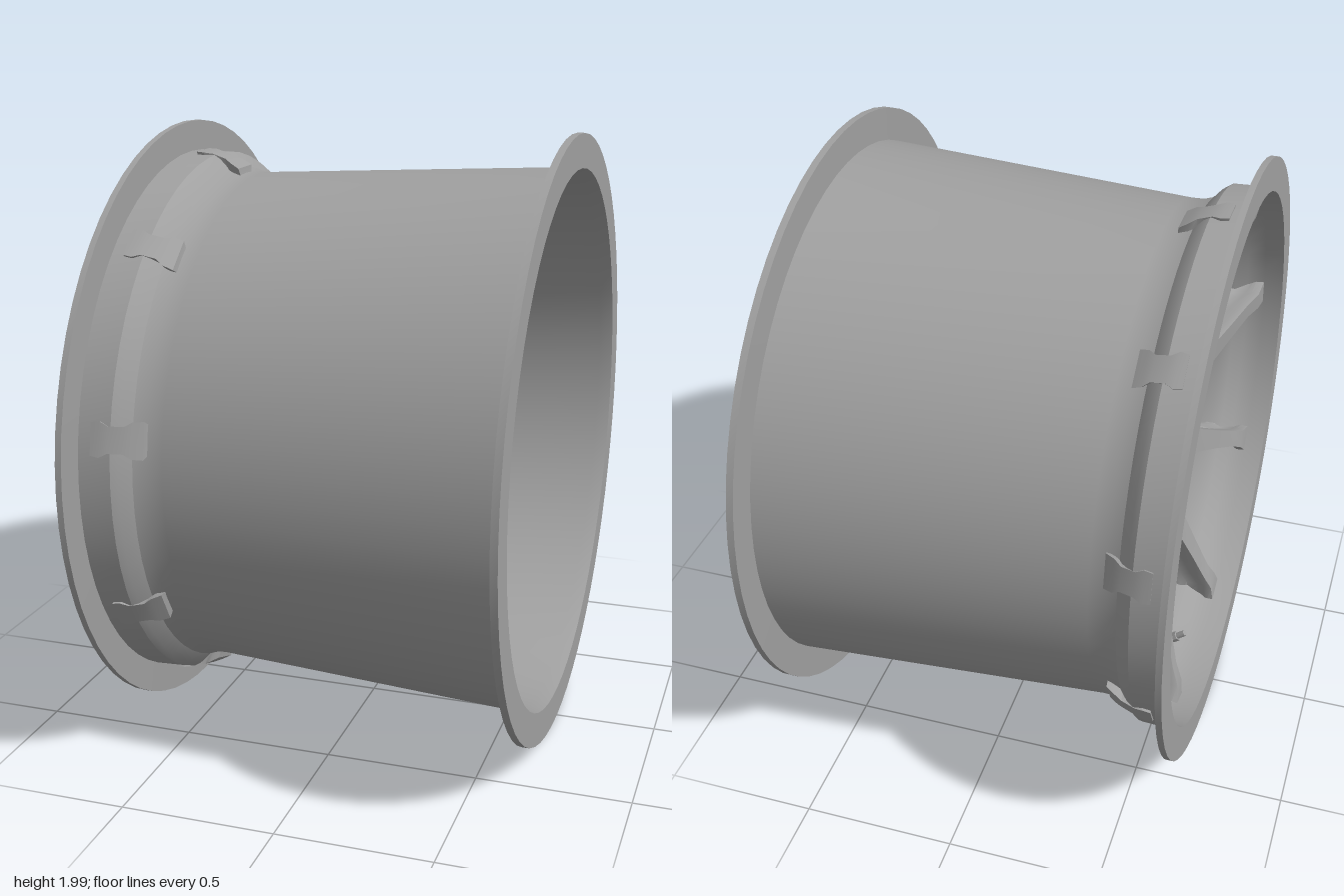
import * as THREE from 'three';
import { toCreasedNormals } from 'three/addons/utils/BufferGeometryUtils.js';

const material = new THREE.MeshStandardMaterial({ color: 0xa0a0a0, side: THREE.DoubleSide });
const SPOKES = 9;
const STEP = (Math.PI * 2) / SPOKES;

function addMesh(parent, name, geometry, crease = 0.5) {
  const mesh = new THREE.Mesh(toCreasedNormals(geometry, crease), material);
  mesh.name = name;
  parent.add(mesh);
  return mesh;
}

// Closed [radius, x] profile turned around the x axis
function turned(profile, segments) {
  const points = profile.map(([r, x]) => new THREE.Vector2(r, x));
  points.push(points[0].clone());
  return new THREE.LatheGeometry(points, segments).rotateZ(-Math.PI / 2);
}

// Skin over equal rings of points, closed at the outer end
function loft(rings) {
  const n = rings[0].length;
  const index = [];
  for (let i = 0; i < rings.length - 1; i++) {
    for (let j = 0; j < n; j++) {
      const a = i * n + j, b = i * n + ((j + 1) % n);
      index.push(a, b, b + n, a, b + n, a + n);
    }
  }
  // Cap strips join mirrored points of the last ring
  const last = (rings.length - 1) * n;
  for (let j = 0; j < n / 2 - 1; j++) {
    const a = last + j, b = last + n - 1 - j;
    index.push(a, a + 1, b - 1, a, b - 1, b);
  }
  const geometry = new THREE.BufferGeometry();
  geometry.setAttribute('position', new THREE.Float32BufferAttribute(rings.flat(2), 3));
  geometry.setIndex(index);
  geometry.computeVertexNormals();
  return geometry;
}

// Spoke section at radius r: flanges of half width wr (rear) and wf (front),
// waisted sides; drop lowers the rear edge to follow the rim
function spokeRing([r, front, rear, wr, wf, drop = 0]) {
  const waist = Math.min(wr, wf) * 0.75;
  const half = [[0, wr], [0.2, wr * 0.96], [0.35, waist], [0.65, waist], [0.82, wf], [1, wf * 0.92]];
  const right = half.map(([t, w]) => [
    THREE.MathUtils.lerp(rear, front, t), r - drop * (1 - t) ** 2, -w,
  ]);
  const left = right.map(([x, y, z]) => [x, y, -z]).reverse();
  return [...right, ...left];
}

export function createModel() {
  const wheel = new THREE.Group();
  wheel.name = 'wheel';

  // Barrel with both flanges, the bead seat step and the tapered drum
  addMesh(wheel, 'barrel', turned([
    [0.885, -0.665], [0.995, -0.665], [0.995, -0.645], [0.897, -0.642], [0.893, -0.54],
    [0.88, -0.52], [0.845, -0.49], [0.832, -0.45], [0.83, -0.40], [0.888, 0.64],
    [0.995, 0.642], [0.995, 0.665], [0.885, 0.665], [0.876, 0.62],
    [0.818, -0.40], [0.82, -0.46], [0.835, -0.50], [0.866, -0.54], [0.88, -0.60],
  ], 64));

  // Hub: deep dished front, sill between the spokes, nine-sided rear body
  const hub = turned([
    [0.165, -0.20], [0.195, -0.21], [0.215, -0.27], [0.25, -0.34], [0.335, -0.45], [0.35, -0.45],
    [0.36, -0.42], [0.36, -0.36], [0.335, -0.28], [0.315, -0.22], [0.30, -0.20],
    [0.30, -0.05], [0.165, -0.05],
  ], 72);
  const p = hub.attributes.position;
  for (let i = 0; i < p.count; i++) {
    const y = p.getY(i), z = p.getZ(i);
    if (p.getX(i) < -0.25 || Math.hypot(y, z) < 0.25) continue;
    const angle = Math.atan2(z, y);
    const offset = angle - Math.round(angle / STEP) * STEP;
    const k = Math.cos(STEP / 2) / Math.cos(offset);
    p.setY(i, y * k);
    p.setZ(i, z * k);
  }
  addMesh(wheel, 'hub', hub, 0.3);

  // Spokes: [radius, front x, rear x, rear half width, front half width, drop]
  const spoke = loft([
    [0.27, -0.36, -0.08, 0.062, 0.08],
    [0.30, -0.40, -0.11, 0.06, 0.09],
    [0.345, -0.455, -0.18, 0.058, 0.095],
    [0.37, -0.46, -0.22, 0.057, 0.08],
    [0.41, -0.47, -0.265, 0.056, 0.06],
    [0.47, -0.482, -0.30, 0.054, 0.045],
    [0.62, -0.525, -0.37, 0.046, 0.036],
    [0.76, -0.565, -0.42, 0.038, 0.032],
    [0.82, -0.59, -0.445, 0.04, 0.036, 0.01],
    [0.902, -0.60, -0.45, 0.058, 0.055, 0.05],
  ].map(spokeRing));
  const spokes = new THREE.Group();
  spokes.name = 'spokes';
  wheel.add(spokes);
  for (let i = 0; i < SPOKES; i++) {
    addMesh(spokes, 'spoke', spoke, 0.6).rotation.x = i * STEP;
  }

  // Valve stem at the bottom of the rim
  const valve = new THREE.Group();
  valve.name = 'valve';
  addMesh(valve, 'valveStem', new THREE.CylinderGeometry(0.011, 0.011, 0.07, 12));
  addMesh(valve, 'valveNut', new THREE.CylinderGeometry(0.018, 0.018, 0.025, 6)).position.y = -0.01;
  valve.position.set(-0.52, -0.82, 0);
  valve.rotation.z = 0.9;
  wheel.add(valve);

  wheel.position.y = 1;
  const model = new THREE.Group();
  model.name = 'wheelRim';
  model.add(wheel);
  return model;
}
